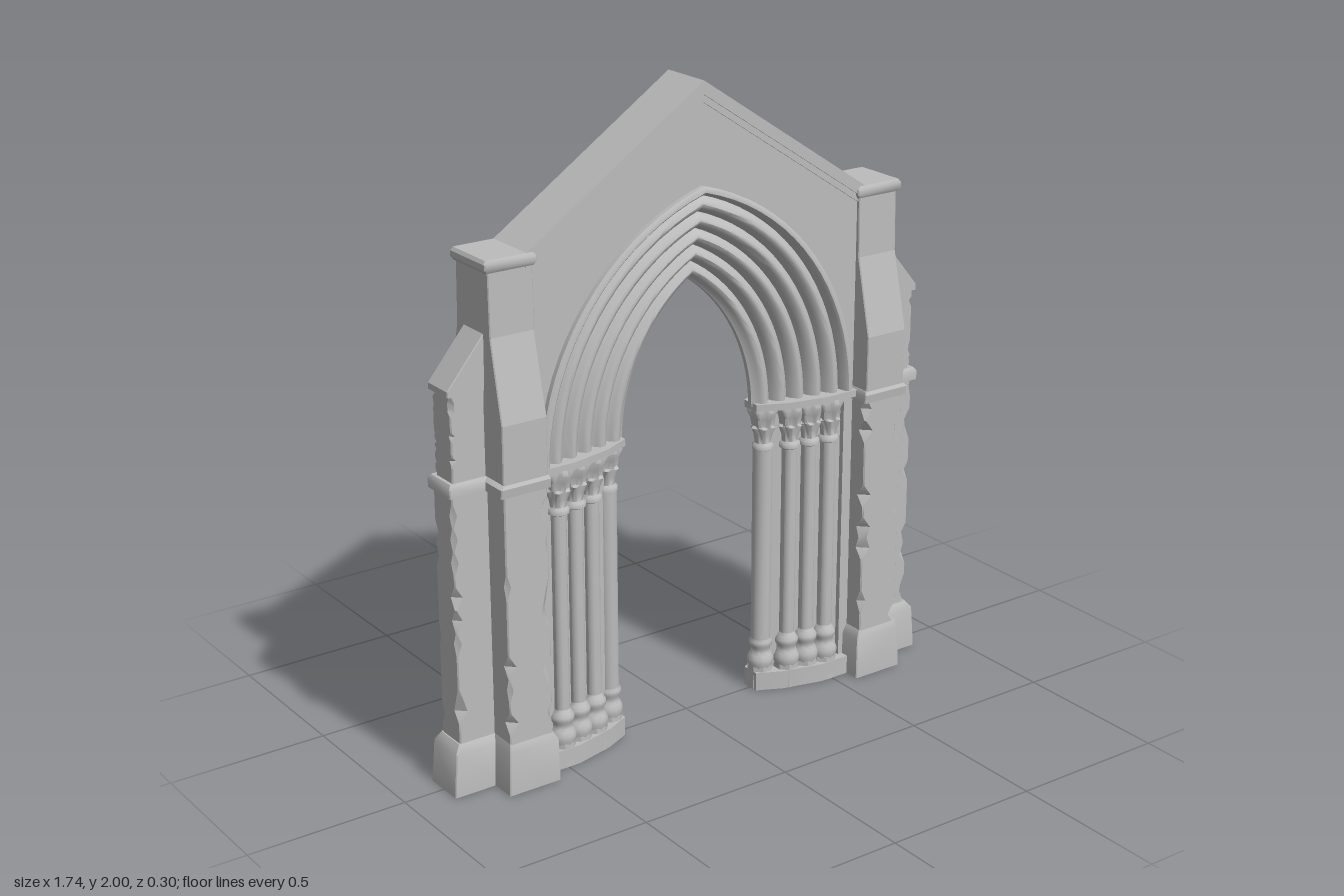
import * as THREE from 'three';
import { toCreasedNormals, mergeVertices } from 'three/addons/utils/BufferGeometryUtils.js';

const SPRING = 0.95; // height where the arch starts

export function createModel() {
  const stone = new THREE.MeshStandardMaterial({ color: 0xbcbcbc, side: THREE.DoubleSide });
  stone.name = 'grey stone';
  const root = new THREE.Group();
  root.name = 'stoneArchway';

  let seed = 7;
  const rand = () => (seed = (seed * 16807) % 2147483647) / 2147483647;

  function add(parent, name, geometry, crease = 0.6) {
    const mesh = new THREE.Mesh(toCreasedNormals(geometry, crease), stone);
    mesh.name = name;
    parent.add(mesh);
    return mesh;
  }

  // Joins rings of points into a skin; closed rings also get end caps
  function loft(rings, closed = true) {
    const n = rings[0].length, idx = [];
    for (let i = 0; i < rings.length - 1; i++) {
      for (let j = 0; j < (closed ? n : n - 1); j++) {
        const k = (j + 1) % n, a = i * n, b = a + n;
        idx.push(a + j, a + k, b + k, a + j, b + k, b + j);
      }
    }
    if (closed) {
      const t = (rings.length - 1) * n;
      for (let j = 1; j < n - 1; j++) idx.push(0, j + 1, j, t, t + j, t + j + 1);
    }
    const g = new THREE.BufferGeometry();
    g.setAttribute('position', new THREE.Float32BufferAttribute(rings.flat(2), 3));
    g.setIndex(idx);
    g.computeVertexNormals();
    return g;
  }

  // Rectangle with cut corners at height y
  function ring(y, x0, x1, z, c = [0.003, 0.003, 0.003, 0.003]) {
    return [
      [x1 - c[0], y, z], [x1, y, z - c[0]], [x1, y, -z + c[1]], [x1 - c[1], y, -z],
      [x0 + c[2], y, -z], [x0, y, -z + c[2]], [x0, y, z - c[3]], [x0 + c[3], y, z],
    ];
  }

  // Shaft whose corners have broken chips at irregular heights
  function wornShaft(y0, y1, x0, x1, z, depth) {
    const rings = [], steps = 22;
    for (let i = 0; i <= steps; i++) {
      const c = [0, 1, 2, 3].map(() =>
        i > 0 && i < steps && rand() < 0.3 ? depth * (0.4 + 0.6 * rand()) : 0.004);
      rings.push(ring(y0 + (y1 - y0) * i / steps, x0, x1, z, c));
    }
    return loft(rings);
  }

  // Flat outline in x, y extruded evenly about z = 0
  function slab(points, halfDepth) {
    const shape = new THREE.Shape(points.map(p => new THREE.Vector2(p[0], p[1])));
    return new THREE.ExtrudeGeometry(shape, { depth: 2 * halfDepth, bevelEnabled: false })
      .translate(0, 0, -halfDepth);
  }

  // Plan outline in x, z (front half, mirrored to the back) raised from y0 to y1
  function planBlock(half, y0, y1) {
    const plan = [...half, ...half.slice().reverse().map(([x, z]) => [x, -z])];
    return loft([y0, y1].map(y => plan.map(([x, z]) => [x, y, z])));
  }

  // Pointed two-centred arch of half width a, from +x over the apex to -x
  function archPoints(a, n = 18) {
    const h = 0.45 + (a - 0.235) / 0.325 * 0.29;
    const r = (a * a + h * h) / (2 * a), end = Math.atan2(h, r - a);
    const right = [];
    for (let i = 0; i <= n; i++) {
      const t = end * i / n;
      right.push([i === n ? 0 : a - r + r * Math.cos(t), SPRING + r * Math.sin(t)]);
    }
    return [...right, ...right.slice(0, -1).reverse().map(([x, y]) => [-x, y])];
  }

  // Gabled wall around the arch
  add(root, 'gableWall', slab([
    [0.6, 0], [0.6, 1.58], [0, 1.98], [-0.6, 1.58], [-0.6, 0], [-0.545, 0],
    ...archPoints(0.545).reverse(), [0.545, 0],
  ], 0.074));

  // Stepped coping along the gable
  const chevron = (top, bottom) => [
    [0.6, 1.6 - top], [0, 2 - top], [-0.6, 1.6 - top],
    [-0.6, 1.6 - bottom], [0, 2 - bottom], [0.6, 1.6 - bottom],
  ];
  add(root, 'gableCoping', slab(chevron(0, 0.04), 0.086));
  add(root, 'gableCopingMoulding', slab(chevron(0.04, 0.062), 0.080));

  // Moulded arch: hood followed by five receding rolls, same on the back
  const profile = [[0.565, 0.06], [0.565, 0.09], [0.556, 0.097], [0.546, 0.097], [0.538, 0.088]];
  for (let i = 0; i < 5; i++) {
    const a = 0.532 - 0.058 * i, z = 0.075 - 0.012 * i;
    profile.push([a, z - 0.016]);
    for (let k = 0; k <= 6; k++) {
      profile.push([a - 0.006 - 0.046 * k / 6, z - 0.012 + 0.02 * Math.sin(Math.PI * k / 6)]);
    }
  }
  profile.push([0.237, 0.008]);
  const section = [...profile, ...profile.slice().reverse().map(([a, z]) => [a, -z])];
  add(root, 'archMouldings', loft(
    section.map(([a, z]) => archPoints(a).map(([x, y]) => [x, y, z])), false), 0.75);

  // Turned shapes of the columns
  const lathe = (pts, seg = 16) =>
    new THREE.LatheGeometry(pts.map(([r, y]) => new THREE.Vector2(r, y)), seg);
  function capitalGeometry() {
    const g = mergeVertices(lathe([
      [0.024, 0.80], [0.033, 0.805], [0.033, 0.818], [0.025, 0.825], [0.027, 0.85],
      [0.036, 0.875], [0.031, 0.88], [0.034, 0.905], [0.044, 0.93], [0.038, 0.945],
    ], 30));
    const p = g.attributes.position;
    // Leaf lobes, the upper row set between the lower ones
    for (let i = 0; i < p.count; i++) {
      const x = p.getX(i), y = p.getY(i), z = p.getZ(i);
      if (y < 0.83) continue;
      const s = 1 + 0.13 * Math.cos(6 * Math.atan2(z, x) + (y > 0.878 ? Math.PI : 0));
      p.setXYZ(i, x * s, y, z * s);
    }
    return g;
  }
  const columns = [[0.495, 0.060], [0.43, 0.047], [0.365, 0.034], [0.288, 0]];

  for (const side of [1, -1]) {
    const half = new THREE.Group();
    half.name = side > 0 ? 'leftPier' : 'rightPier';
    half.scale.x = side;
    root.add(half);

    // Core, foot and impost of the clustered pier
    add(half, 'pierCore', planBlock([[0.59, 0.06], [0.5, 0.055], [0.285, 0.012]].reverse(), 0, 0.95));
    add(half, 'pierFoot', planBlock([[0.25, 0.03], [0.33, 0.068], [0.46, 0.1], [0.59, 0.1]], 0, 0.06));
    add(half, 'pierImpost', planBlock([[0.24, 0.03], [0.33, 0.072], [0.46, 0.1], [0.59, 0.1]], 0.94, 0.962));

    columns.forEach(([x, z], i) => {
      for (const f of z ? [1, -1] : [1]) {
        const column = new THREE.Group();
        column.name = 'column';
        column.position.set(x, 0, z * f);
        half.add(column);
        const r = i === 3 ? 0.031 : 0.024;
        add(column, 'columnPlinth', new THREE.CylinderGeometry(0.041, 0.044, 0.075, 8)
          .rotateY(Math.PI / 8).translate(0, 0.0375, 0));
        add(column, 'columnBase', lathe([
          [0.038, 0.07], [0.042, 0.085], [0.042, 0.1], [0.036, 0.112], [0.031, 0.12],
          [0.031, 0.135], [0.037, 0.145], [0.037, 0.158], [0.03, 0.168], [r, 0.18],
        ]), 0.9);
        add(column, 'columnShaft', new THREE.CylinderGeometry(r, r, 0.66, 16, 1, true)
          .translate(0, 0.49, 0));
        add(column, 'columnCapital', capitalGeometry(), 0.9);
      }
    });

    // Main buttress: plinth, worn shaft, string course, sloped top and cap
    add(half, 'buttressPlinth', loft([ring(0, 0.56, 0.735, 0.15), ring(0.135, 0.563, 0.73, 0.148),
      ring(0.16, 0.578, 0.722, 0.138)]));
    add(half, 'buttressShaft', wornShaft(0.15, 0.94, 0.578, 0.722, 0.139, 0.032));
    add(half, 'buttressString', loft([ring(0.928, 0.57, 0.735, 0.145), ring(0.955, 0.57, 0.735, 0.148),
      ring(0.967, 0.577, 0.725, 0.141)]));
    add(half, 'buttressUpper', loft([ring(0.96, 0.578, 0.725, 0.142), ring(1.14, 0.578, 0.725, 0.143),
      ring(1.38, 0.578, 0.722, 0.088), ring(1.57, 0.578, 0.722, 0.084)]), 0.1);
    add(half, 'buttressCap', loft([ring(1.565, 0.572, 0.728, 0.086), ring(1.575, 0.568, 0.735, 0.092),
      ring(1.592, 0.568, 0.735, 0.092), ring(1.602, 0.575, 0.728, 0.086)]));

    // Narrow side buttress
    add(half, 'sidePlinth', loft([ring(0, 0.7, 0.87, 0.068), ring(0.135, 0.7, 0.86, 0.065),
      ring(0.16, 0.7, 0.842, 0.052)]));
    add(half, 'sideShaft', wornShaft(0.15, 0.94, 0.68, 0.838, 0.05, 0.03));
    add(half, 'sideString', loft([ring(0.928, 0.7, 0.85, 0.062), ring(0.955, 0.7, 0.85, 0.062),
      ring(0.967, 0.7, 0.842, 0.054)]));
    add(half, 'sideUpper', wornShaft(0.96, 1.225, 0.68, 0.832, 0.048, 0.016));
    add(half, 'sideSlope', loft([ring(1.222, 0.68, 0.842, 0.053), ring(1.24, 0.68, 0.842, 0.053),
      ring(1.385, 0.68, 0.722, 0.053)]), 0.1);
  }
  return root;
}
